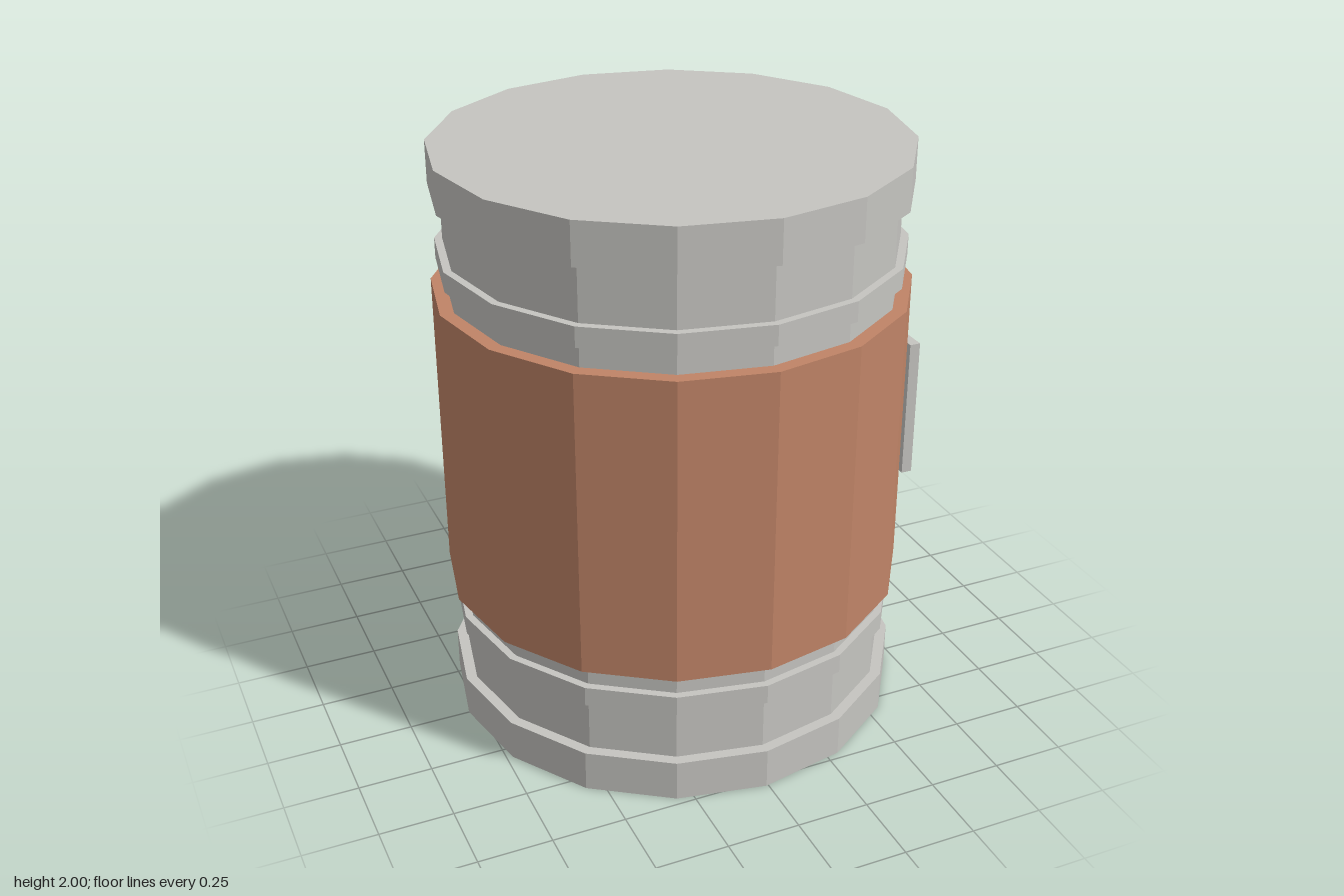
import * as THREE from 'three';

const SIDES = 16;
const CENTRE_X = -0.007;

const steel = new THREE.MeshStandardMaterial({ color: 0xc5c4c0, flatShading: true });
steel.name = 'pale grey';
const copper = new THREE.MeshStandardMaterial({ color: 0xc08467, flatShading: true });
copper.name = 'copper brown';

// Faceted solid of revolution from [radius, height] pairs, bottom to top
function turned(name, profile, material) {
  const points = profile.map(([r, y]) => new THREE.Vector2(r, y));
  const mesh = new THREE.Mesh(new THREE.LatheGeometry(points, SIDES), material);
  mesh.name = name;
  mesh.position.x = CENTRE_X;
  return mesh;
}

export function createModel() {
  const model = new THREE.Group();
  model.name = 'canister';

  // Grey body: end cap, neck and raised rib, repeated at both ends
  const rim = 0.782, neck = 0.745, rib = 0.771;
  const lower = [
    [0, 0], [rim, 0], [rim, 0.143], [neck, 0.143],
    [neck, 0.33], [rib, 0.33], [rib, 0.398], [neck, 0.398],
  ];
  const upper = lower.map(([r, y]) => [r, 2 - y]).reverse();
  model.add(turned('body', [...lower, ...upper], steel));

  // Coloured sleeve around the middle
  const sleeve = [[neck, 0.475], [0.791, 0.475], [0.791, 1.528], [neck, 1.528]];
  model.add(turned('sleeve', sleeve, copper));

  // Flat plate on the left side
  const plate = new THREE.Mesh(new THREE.BoxGeometry(0.038, 0.494, 0.534), steel);
  plate.name = 'sidePlate';
  plate.position.set(0.778, 1.003, 0);
  model.add(plate);

  return model;
}
